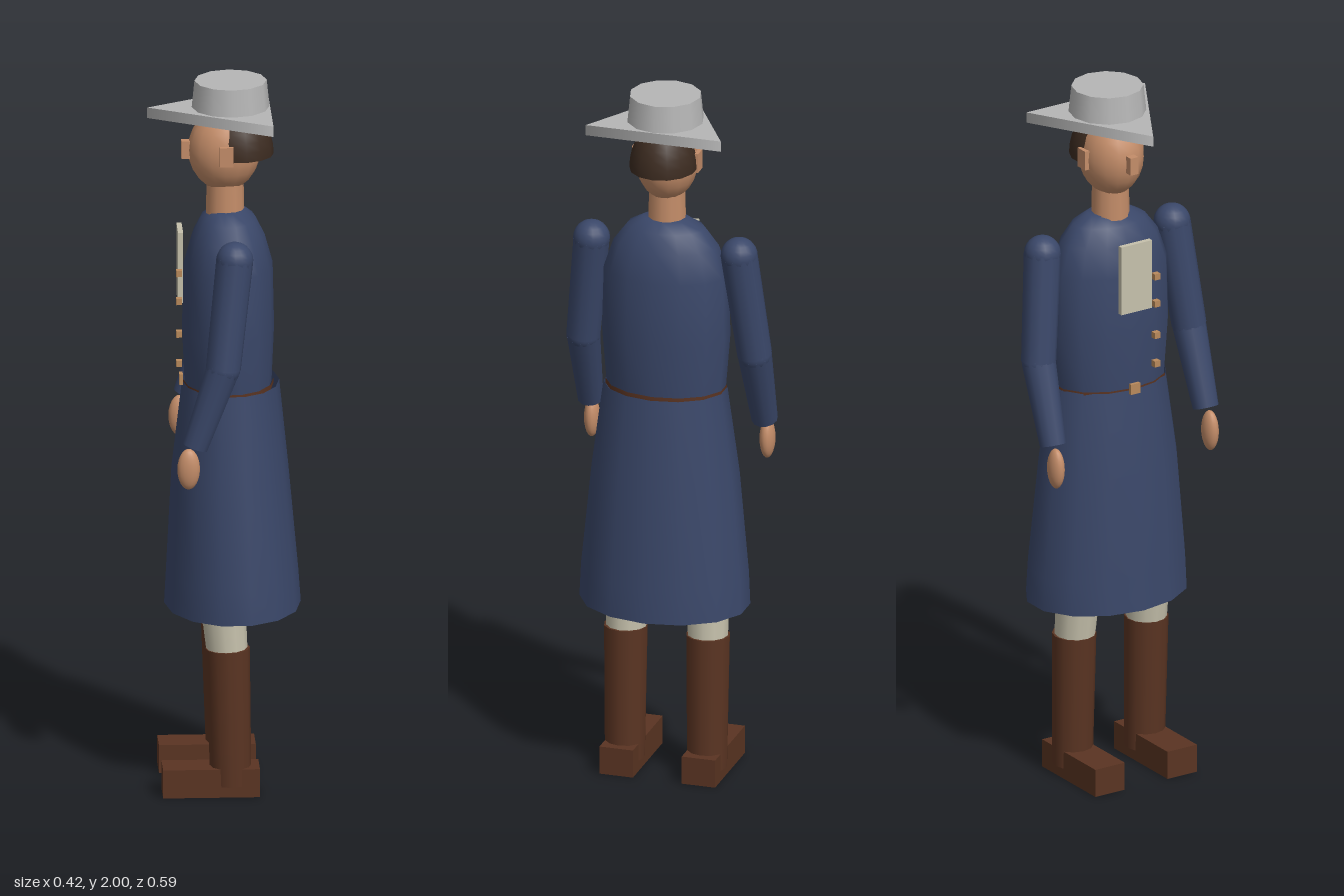
import * as THREE from 'three';

const mat = (name, color, side = THREE.FrontSide) => {
  const m = new THREE.MeshStandardMaterial({ color, side });
  m.name = name;
  return m;
};

// Closed or open shell through elliptical rings [y, centreX, radiusX, radiusZ]
function loft(rings, sides = 14) {
  const pos = [], idx = [];
  rings.forEach(([y, cx, rx, rz]) => {
    for (let i = 0; i < sides; i++) {
      const a = (i / sides) * Math.PI * 2;
      pos.push(cx + rx * Math.cos(a), y, rz * Math.sin(a));
    }
  });
  for (let r = 0; r < rings.length - 1; r++) {
    for (let i = 0; i < sides; i++) {
      const j = (i + 1) % sides, a = r * sides + i, b = r * sides + j;
      idx.push(a, b, a + sides, b, b + sides, a + sides);
    }
  }
  const g = new THREE.BufferGeometry();
  g.setAttribute('position', new THREE.Float32BufferAttribute(pos, 3));
  g.setIndex(idx);
  g.computeVertexNormals();
  return g;
}

export function createModel() {
  const root = new THREE.Group();
  const coat = mat('navy coat', 0x3a4769, THREE.DoubleSide);
  const skin = mat('skin', 0xc48d69);
  const hair = mat('dark hair', 0x3c2b20);
  const felt = mat('grey felt', 0xb6b6b6);
  const cream = mat('cream cloth', 0xc6c1ac);
  const leather = mat('brown leather', 0x5a3422);
  const brass = mat('brass', 0xb98a5c);

  const add = (name, geo, material, x = 0, y = 0, z = 0, parent = root) => {
    const m = new THREE.Mesh(geo, material);
    m.name = name;
    m.position.set(x, y, z);
    parent.add(m);
    return m;
  };
  const box = (name, material, [w, h, d], [x, y, z], parent) =>
    add(name, new THREE.BoxGeometry(w, h, d), material, x, y, z, parent);
  const ellipsoid = (name, material, [rx, ry, rz], [x, y, z], parent) =>
    add(name, new THREE.SphereGeometry(1, 16, 12).scale(rx, ry, rz), material, x, y, z, parent);
  // Tapered limb from point a (radius ra) to point b (radius rb)
  const limb = (name, material, a, ra, b, rb, parent) => {
    const p = new THREE.Vector3(...a), q = new THREE.Vector3(...b);
    const m = add(name, new THREE.CylinderGeometry(rb, ra, p.distanceTo(q), 12), material, 0, 0, 0, parent);
    m.position.copy(p).lerp(q, 0.5);
    m.quaternion.setFromUnitVectors(new THREE.Vector3(0, 1, 0), q.sub(p).normalize());
    return m;
  };

  // Coat: fitted body and open flared skirt
  // (rings run top to bottom so that faces point outward)
  add('coatBody', loft([
    [1.638, 0.01, 0.001, 0.001], [1.635, 0.01, 0.045, 0.065], [1.61, 0.01, 0.075, 0.11],
    [1.56, 0.01, 0.1, 0.148], [1.48, 0.01, 0.122, 0.175], [1.3, 0.01, 0.126, 0.18],
    [1.14, 0.01, 0.119, 0.167],
  ].map((r) => r).reverse().map((r) => r)).scale(1, 1, -1), coat);
  add('coatSkirt', loft([
    [1.145, 0.017, 0.133, 0.173], [0.9, 0.015, 0.16, 0.206],
    [0.605, 0.021, 0.181, 0.234], [0.51, 0.022, 0.187, 0.238],
  ].reverse()).scale(1, 1, -1), coat);
  for (const name of ['coatBody', 'coatSkirt']) flipScaled(root.getObjectByName(name).geometry);

  // Belt with small buckle
  add('belt', loft([[1.135, 0.01, 0.125, 0.17], [1.15, 0.01, 0.125, 0.17]]).scale(1, 1, -1), leather);
  flipScaled(root.getObjectByName('belt').geometry);
  box('beltBuckle', brass, [0.01, 0.03, 0.03], [-0.119, 1.15, 0]);

  // Shirt front and button row
  box('shirtFront', cream, [0.014, 0.2, 0.1], [-0.122, 1.48, 0]);
  [1.47, 1.39, 1.297, 1.213].forEach((y) =>
    box('coatButton', brass, [0.016, 0.018, 0.018], [-0.127, y, 0.064]));

  // Neck and head
  add('neck', new THREE.CylinderGeometry(0.05, 0.053, 0.13, 12), skin, 0.002, 1.675, 0);
  ellipsoid('head', skin, [0.1, 0.117, 0.087], [0, 1.805, 0]);
  box('nose', skin, [0.03, 0.05, 0.025], [-0.103, 1.805, 0]);
  const cap = new THREE.SphereGeometry(1, 14, 8, 0, Math.PI * 2, 0, Math.PI / 2).scale(0.1, 0.135, 0.093);
  add('hair', cap, hair, 0.035, 1.79, 0);
  add('hairUnderside', new THREE.CircleGeometry(1, 14).rotateX(Math.PI / 2).scale(0.1, 1, 0.093), hair, 0.035, 1.79, 0);

  // Three-cornered hat, one point forward
  add('hatBrim', new THREE.CylinderGeometry(0.224, 0.224, 0.03, 3).rotateY(-Math.PI / 2), felt, 0.013, 1.91, 0);
  add('hatCrown', new THREE.CylinderGeometry(0.099, 0.107, 0.08, 12), felt, 0.017, 1.96, 0);

  // Paired parts on both sides
  for (const s of [1, -1]) {
    const side = new THREE.Group();
    side.name = s > 0 ? 'nearSideLimbs' : 'farSideLimbs';
    root.add(side);

    box('ear', skin, [0.038, 0.055, 0.018], [0.002, 1.807, s * 0.086], side);

    const shoulder = [0.018, 1.55, s * 0.212], elbow = [-0.015, 1.25, s * 0.246], wrist = [-0.092, 1.03, s * 0.25];
    ellipsoid('shoulder', coat, [0.051, 0.051, 0.051], shoulder, side);
    limb('upperSleeve', coat, shoulder, 0.051, elbow, 0.048, side);
    ellipsoid('elbow', coat, [0.047, 0.047, 0.047], elbow, side);
    limb('lowerSleeve', coat, elbow, 0.047, wrist, 0.036, side);
    ellipsoid('hand', skin, [0.031, 0.058, 0.021], [-0.11, 0.967, s * 0.252], side);

    const hip = [0.01, 1.08, s * 0.085], knee = [-0.014, 0.6, s * 0.112], calf = [0.002, 0.4, s * 0.117];
    limb('thigh', cream, hip, 0.075, knee, 0.064, side);
    limb('lowerBreeches', cream, knee, 0.064, calf, 0.056, side);
    limb('bootShaft', leather, [0.003, 0.415, s * 0.118], 0.061, [0.012, 0.03, s * 0.118], 0.056, side);
    box('bootFoot', leather, [0.265, 0.08, 0.096], [-0.043, 0.04, s * 0.118], side);
  }
  return root;
}

// Makes every face of an upright shell point away from its axis
function flipScaled(g) {
  const p = g.attributes.position, idx = g.index.array;
  const v = [0, 1, 2].map(() => new THREE.Vector3());
  for (let i = 0; i < idx.length; i += 3) {
    v.forEach((q, k) => q.fromBufferAttribute(p, idx[i + k]));
    const mid = v[0].clone().add(v[1]).add(v[2]).divideScalar(3);
    const n = v[1].clone().sub(v[0]).cross(v[2].clone().sub(v[0]));
    if (n.x * (mid.x - 0.015) + n.z * mid.z < 0) [idx[i + 1], idx[i + 2]] = [idx[i + 2], idx[i + 1]];
  }
  g.computeVertexNormals();
}
